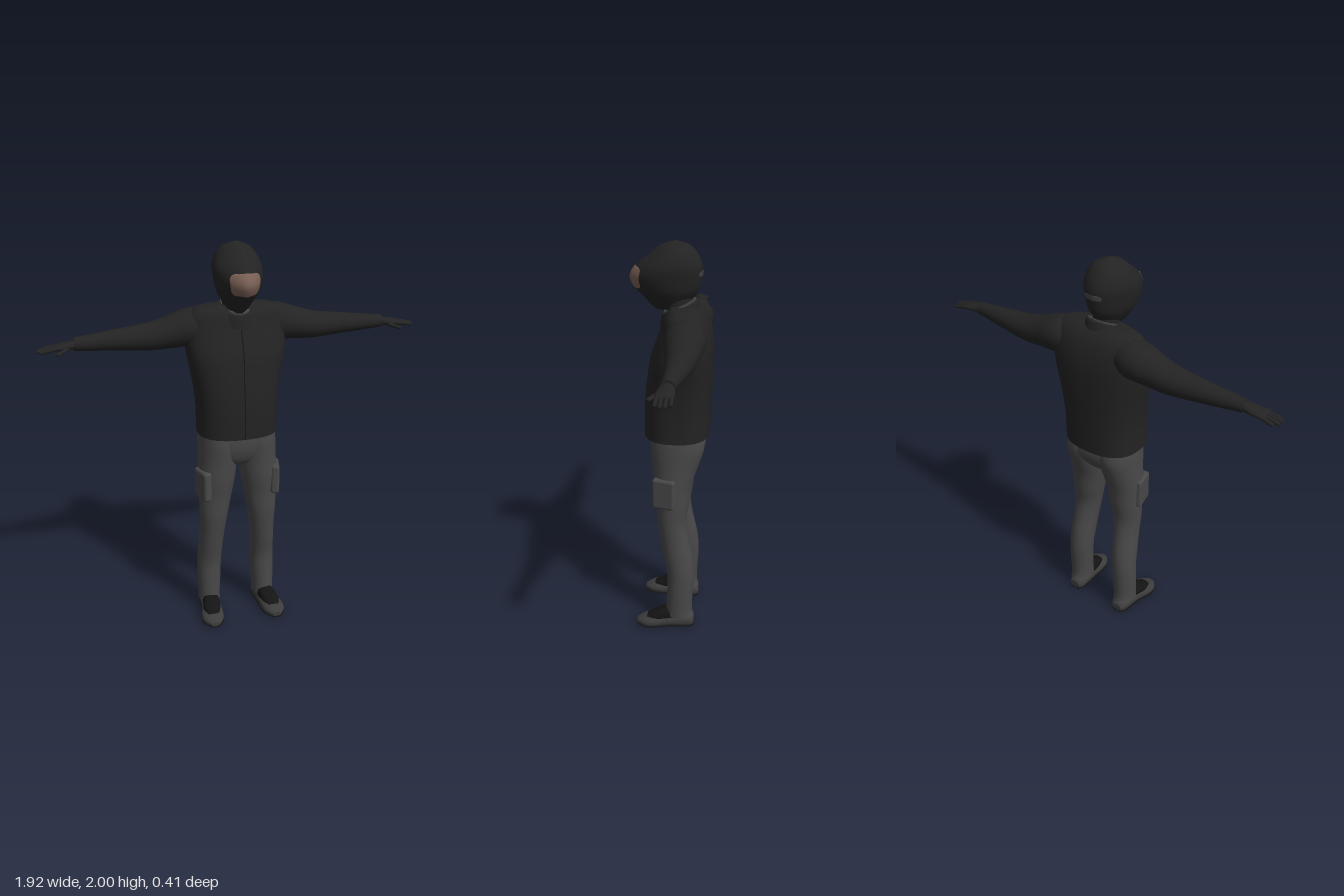
import * as THREE from 'three';
import { RoundedBoxGeometry } from 'three/addons/geometries/RoundedBoxGeometry.js';

const mat = (name, color) => {
  const m = new THREE.MeshStandardMaterial({ color });
  m.name = name;
  return m;
};

// How a section (t along the axis, a and b across it) maps to x, y, z
const alongY = (t, a, b) => [a, t, b];
const alongX = (t, a, b) => [t, a, b];
const alongZ = (t, a, b) => [a, b, t];

// Smooth interpolation between rows [t, centreA, centreB, radiusA, radiusB]
function sample(rows, u) {
  const i = Math.min(Math.floor(u), rows.length - 2), f = u - i;
  const row = k => rows[Math.max(0, Math.min(rows.length - 1, k))];
  const [p, q, r, s] = [row(i - 1), row(i), row(i + 1), row(i + 2)];
  return q.map((v, k) => v + 0.5 * f * (r[k] - p[k] + f * (2 * p[k] - 5 * v + 4 * r[k] - s[k]
    + f * (3 * (v - r[k]) + s[k] - p[k]))));
}

// A point on the lofted surface; power squares the section, taper narrows its front
function surface(rows, u, angle, { map = alongY, power = 1, taper = 0, grow = 0 } = {}) {
  const [t, ca, cb, ra, rb] = sample(rows, u);
  const c = Math.cos(angle), s = Math.sin(angle);
  const sq = v => Math.sign(v) * Math.abs(v) ** power;
  const narrow = 1 - taper * Math.max(0, s) ** 2;
  return map(t, ca + (ra + grow) * sq(c) * narrow, cb + (rb + grow) * sq(s));
}

function build(points, index) {
  const g = new THREE.BufferGeometry();
  g.setAttribute('position', new THREE.Float32BufferAttribute(points.flat(), 3));
  g.setIndex(index);
  g.computeVertexNormals();
  return g;
}

// Closed body through the rows, with capped ends
function loft(rows, opts = {}, sides = 32, steps = 4) {
  const pts = [], idx = [], n = (rows.length - 1) * steps;
  for (let i = 0; i <= n; i++)
    for (let j = 0; j < sides; j++) pts.push(surface(rows, i / steps, j / sides * Math.PI * 2, opts));
  for (let i = 0; i < n; i++)
    for (let j = 0; j < sides; j++) {
      const a = i * sides + j, b = i * sides + (j + 1) % sides;
      idx.push(a, a + sides, b, b, a + sides, b + sides);
    }
  for (const [start, flip] of [[0, false], [n * sides, true]]) {
    const base = pts.length, ring = pts.slice(start, start + sides);
    pts.push(...ring, [0, 1, 2].map(k => ring.reduce((s, p) => s + p[k], 0) / sides));
    for (let j = 0; j < sides; j++) {
      const a = base + j, b = base + (j + 1) % sides;
      idx.push(base + sides, flip ? b : a, flip ? a : b);
    }
  }
  // Turn the faces outward whichever axis or side was used
  let volume = 0;
  const v = k => new THREE.Vector3(...pts[idx[k]]);
  for (let k = 0; k < idx.length; k += 3) volume += v(k).dot(v(k + 1).cross(v(k + 2)));
  if (volume < 0) idx.reverse();
  return build(pts, idx);
}

// Thin panel lying on an upright loft, with optionally rounded corners
function panel(rows, u0, u1, angle, half, opts, rounded = false) {
  const pts = [], idx = [], n = 20;
  for (let i = 0; i <= n; i++) {
    const w = rounded ? Math.max(0, 1 - Math.abs(2 * i / n - 1) ** 4) ** 0.25 : 1;
    for (let j = 0; j <= n; j++)
      pts.push(surface(rows, u0 + (u1 - u0) * i / n, angle + half * w * (2 * j / n - 1), opts));
  }
  for (let i = 0; i < n; i++)
    for (let j = 0; j < n; j++) {
      const a = i * (n + 1) + j, b = a + n + 1;
      idx.push(a, b, a + 1, a + 1, b, b + 1);
    }
  return build(pts, idx);
}

export function createModel() {
  const root = new THREE.Group();
  root.name = 'figure';
  const black = mat('black cloth', 0x232323), grey = mat('grey trousers', 0x484848);
  const skin = mat('skin', 0x7a6055), dark = mat('dark rubber', 0x141414);
  const shoeGrey = mat('shoe grey', 0x3c3c3c), lining = mat('collar lining', 0x444444);
  const add = (name, geometry, material) => {
    const m = new THREE.Mesh(geometry, material);
    m.name = name;
    root.add(m);
    return m;
  };

  // Hood with a face opening and a slit at the back
  const head = [
    [1.675, -0.01, 0.05, 0.02, 0.03], [1.70, -0.01, 0.02, 0.055, 0.09],
    [1.74, -0.01, 0.02, 0.082, 0.125], [1.775, -0.01, 0.026, 0.1, 0.154],
    [1.83, -0.01, 0.032, 0.113, 0.172], [1.885, -0.01, 0.017, 0.117, 0.16],
    [1.94, -0.01, -0.005, 0.098, 0.115], [1.98, -0.01, -0.012, 0.062, 0.07],
    [2.0, -0.01, -0.012, 0.008, 0.01]];
  add('hood', loft(head, { taper: 0.3 }), black);
  add('face', panel(head, 3, 5, Math.PI / 2, 0.8, { taper: 0.3, grow: 0.003 }, true), skin);
  add('hoodSlit', panel(head, 4.15, 4.65, -Math.PI / 2, 0.42, { grow: 0.003 }, true), lining);
  add('neck', loft([[1.6, 0, -0.04, 0.07, 0.07], [1.68, -0.005, -0.035, 0.065, 0.068],
    [1.76, -0.01, -0.02, 0.065, 0.075]]), black);

  // Jacket body, front seam and collar sloping down to the front
  const torso = [
    [1.05, -0.003, -0.028, 0.203, 0.163], [1.2, -0.003, -0.03, 0.205, 0.165],
    [1.34, -0.003, -0.04, 0.222, 0.161], [1.45, 0, -0.05, 0.245, 0.153],
    [1.53, 0, -0.062, 0.252, 0.138], [1.6, 0, -0.068, 0.25, 0.118],
    [1.655, 0, -0.065, 0.238, 0.098], [1.688, 0, -0.06, 0.19, 0.07],
    [1.70, 0, -0.05, 0.09, 0.05]];
  add('jacketBody', loft(torso, { power: 0.8 }, 48), black);
  add('jacketSeam', panel(torso, 0, 6, Math.PI / 2, 0.004, { power: 0.8, grow: 0.002 }), dark);
  const slope = (t, a, b) => [a, t - 0.42 * (b + 0.035), b];
  add('collar', loft([[1.63, 0, -0.038, 0.1, 0.1], [1.685, 0, -0.036, 0.088, 0.088],
    [1.692, 0, -0.036, 0.08, 0.08]], { map: slope }), black);
  add('collarLining', loft([[1.66, 0, -0.036, 0.077, 0.08], [1.7, 0, -0.036, 0.075, 0.078]],
    { map: slope }), lining);

  // Hips
  add('hips', loft([[0.865, 0, -0.015, 0.03, 0.035], [0.89, 0, -0.018, 0.09, 0.075],
    [0.93, 0, -0.026, 0.165, 0.108], [1.0, 0, -0.037, 0.198, 0.135],
    [1.1, 0, -0.033, 0.192, 0.13]], { power: 0.85 }, 40), grey);

  for (const s of [1, -1]) {
    const side = s > 0 ? 'left' : 'right';
    const flip = map => (t, a, b) => { const p = map(t, a, b); return [p[0] * s, p[1], p[2]]; };
    const x = { map: flip(alongX) }, y = { map: flip(alongY) };
    // Shoes rest flat on the ground
    const z = { map: flip((t, a, b) => alongZ(t, a, Math.max(0.006, b))), power: 0.85 };

    // Sleeve
    add(side + 'Sleeve', loft([
      [0.14, 1.59, -0.085, 0.07, 0.08], [0.2, 1.588, -0.085, 0.092, 0.098],
      [0.26, 1.582, -0.085, 0.09, 0.098], [0.33, 1.568, -0.085, 0.08, 0.086],
      [0.43, 1.552, -0.087, 0.067, 0.073], [0.6, 1.549, -0.082, 0.05, 0.052],
      [0.72, 1.547, -0.074, 0.038, 0.038], [0.785, 1.547, -0.07, 0.032, 0.032]], x, 28), black);

    // Glove: palm, four fingers and a thumb
    add(side + 'Palm', loft([
      [0.77, 1.546, -0.07, 0.022, 0.026], [0.82, 1.542, -0.067, 0.019, 0.038],
      [0.87, 1.537, -0.067, 0.014, 0.041], [0.89, 1.535, -0.067, 0.008, 0.036]], x, 20), black);
    const digit = (name, from, to, r) => {
      const a = new THREE.Vector3(...from), b = new THREE.Vector3(...to);
      const m = add(side + name, new THREE.CapsuleGeometry(r, a.distanceTo(b), 4, 10), black);
      m.position.copy(a).add(b).multiplyScalar(0.5);
      m.quaternion.setFromUnitVectors(new THREE.Vector3(0, 1, 0), b.sub(a).normalize());
    };
    [0.93, 0.95, 0.953, 0.94].forEach((tip, i) => digit('Finger' + (i + 1),
      [s * 0.87, 1.538, -0.097 + i * 0.02], [s * tip, 1.525, -0.1 + i * 0.021], 0.009));
    digit('Thumb', [s * 0.81, 1.535, -0.045], [s * 0.865, 1.52, -0.003], 0.01);

    // Trouser leg
    add(side + 'TrouserLeg', loft([
      [0.06, 0.152, -0.055, 0.058, 0.075], [0.1, 0.152, -0.053, 0.058, 0.068],
      [0.2, 0.15, -0.057, 0.062, 0.068], [0.3, 0.147, -0.06, 0.064, 0.07],
      [0.4, 0.142, -0.046, 0.065, 0.075], [0.5, 0.136, -0.027, 0.067, 0.073],
      [0.6, 0.13, -0.012, 0.075, 0.073], [0.7, 0.122, -0.015, 0.086, 0.083],
      [0.8, 0.114, -0.014, 0.096, 0.096], [0.9, 0.105, -0.026, 0.1, 0.115],
      [1.0, 0.1, -0.037, 0.102, 0.135], [1.08, 0.097, -0.037, 0.098, 0.13]], y), grey);

    // Thigh pocket
    const pocket = add(side + 'Pocket', new RoundedBoxGeometry(0.045, 0.16, 0.12, 3, 0.015), grey);
    pocket.position.set(s * 0.192, 0.78, 0.02);
    pocket.rotation.y = -s * 0.25;

    // Shoe: body, darker upper and rubber underside
    const shoe = [
      [-0.13, 0.15, 0.026, 0.03, 0.02], [-0.1, 0.15, 0.03, 0.046, 0.035],
      [0, 0.157, 0.03, 0.05, 0.036], [0.08, 0.168, 0.026, 0.06, 0.032],
      [0.13, 0.171, 0.022, 0.052, 0.025], [0.168, 0.171, 0.018, 0.022, 0.012]];
    add(side + 'Shoe', loft(shoe, z, 28), shoeGrey);
    add(side + 'ShoeUpper', loft([
      [-0.09, 0.15, 0.055, 0.036, 0.045], [0, 0.156, 0.058, 0.044, 0.048],
      [0.06, 0.165, 0.05, 0.046, 0.036], [0.115, 0.169, 0.036, 0.032, 0.02]], z, 24), dark);
    add(side + 'Sole', loft(shoe.map(([t, cx, , rx]) => [t, cx, 0.004, rx, 0.004]),
      { map: flip(alongZ), power: 0.85 }, 20), dark);
  }
  return root;
}
